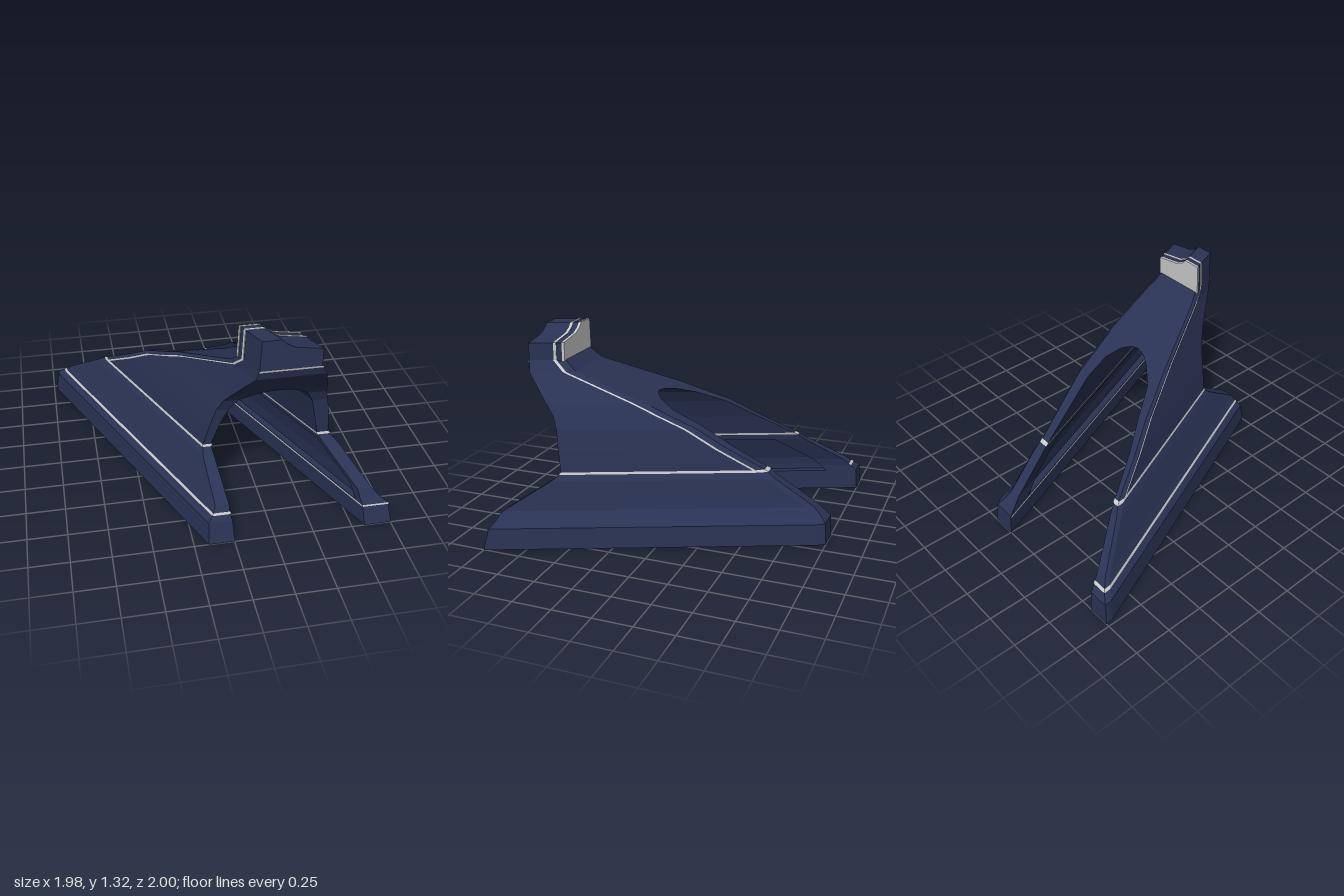
import * as THREE from 'three';

const SHEAR = 0.417; // the whole stand leans sideways as it runs front to back
const APEX = 0.885; // top of the arched tunnel
const hull = new THREE.MeshStandardMaterial({ color: 0x2a3354, flatShading: true, side: THREE.DoubleSide });
const trim = new THREE.MeshStandardMaterial({ color: 0xcccccc, flatShading: true, side: THREE.DoubleSide });

// height, front z, back z, outer right, inner right, inner left, outer left, recess depth
const LEVELS = [
  [0, 1, -1, -0.577, -0.415, 0.415, 0.587, 0],
  [0.14, 0.97, -0.99, -0.56, -0.413, 0.412, 0.577, 0],
  [0.14, 0.97, -0.99, -0.56, -0.413, 0.412, 0.577, 0.05],
  [0.18, 0.945, -0.95, -0.52, -0.413, 0.41, 0.535, 0.05],
  [0.23, 0.92, -0.9, -0.49, -0.405, 0.408, 0.5, 0.05],
  [0.41, 0.655, -0.655, -0.405, -0.335, 0.37, 0.46, 0.05],
  [0.41, 0.655, -0.655, -0.405, -0.335, 0.37, 0.46, 0],
  [0.455, 0.6, -0.6, -0.375, -0.325, 0.36, 0.435, 0],
  [0.6, 0.618, -0.36, -0.345, -0.285, 0.325, 0.415, 0],
  [0.73, 0.635, -0.165, -0.313, -0.235, 0.29, 0.39, 0],
  [0.81, 0.665, 0.01, -0.29, -0.19, 0.235, 0.353, 0],
  [0.86, 0.7, 0.11, -0.275, -0.105, 0.15, 0.33, 0],
  [0.88, 0.715, 0.155, -0.27, -0.04, 0.08, 0.32, 0],
  [APEX, 0.72, 0.17, -0.268, 0.02, 0.02, 0.318, 0],
  [1.06, 0.86, 0.6, -0.22, 0, 0, 0.2, 0],
  [1.13, 0.88, 0.675, -0.215, 0, 0, 0.155, 0],
];

// Profile values at any height
function levelAt(y) {
  let k = 1;
  while (k < LEVELS.length - 1 && LEVELS[k][0] < y) k++;
  const a = LEVELS[k - 1], b = LEVELS[k];
  const t = (y - a[0]) / (b[0] - a[0] || 1);
  return a.map((v, n) => v + (b[n] - v) * t);
}

const place = (x, y, z) => new THREE.Vector3(x + SHEAR * z, y, z);

// Horizontal outline of one side (s = 1 left, -1 right), grown by e
function section(level, s, e = 0) {
  const y = level[0], zf = level[1] + e, zb = level[2] - e, d = level[7];
  const o = (s > 0 ? level[6] : level[3]) + s * e;
  const i = (s > 0 ? level[5] : level[4]) - s * e;
  return [
    [o, zf], [o, zb + 0.045], [o - s * 0.015, zb], [i, zb],
    [i, zb + 0.2], [i + s * d, zb + 0.2], [i + s * d, zf - 0.06], [i, zf - 0.06], [i, zf],
  ].map(([x, z]) => place(x, y, z));
}

function addTri(out, a, b, c, flip) {
  const area = b.clone().sub(a).cross(c.clone().sub(a)).length();
  if (area < 1e-6) return;
  for (const p of flip ? [a, c, b] : [a, b, c]) out.push(p.x, p.y, p.z);
}

// Joins chosen sides of two outlines with faces
function join(out, lo, hi, s, sides) {
  for (const k of sides) {
    const n = (k + 1) % lo.length;
    addTri(out, lo[k], lo[n], hi[n], s < 0);
    addTri(out, lo[k], hi[n], hi[k], s < 0);
  }
}

function makeMesh(name, points, material) {
  const g = new THREE.BufferGeometry();
  g.setAttribute('position', new THREE.Float32BufferAttribute(points, 3));
  g.computeVertexNormals();
  const m = new THREE.Mesh(g, material);
  m.name = name;
  return m;
}

const OUTER = [0, 1, 2, 8], INNER = [3, 4, 5, 6, 7], ALL = [...OUTER, ...INNER];

// One leg with its half of the arch
function makeSide(s, name) {
  const out = [];
  for (let k = 0; k < LEVELS.length - 1; k++) {
    const sides = LEVELS[k][0] >= APEX ? OUTER : ALL;
    join(out, section(LEVELS[k], s), section(LEVELS[k + 1], s), s, sides);
  }
  // sole
  const p = section(LEVELS[0], s);
  for (const [a, b] of [[1, 2], [2, 3], [3, 8]]) addTri(out, p[0], p[b], p[a], s < 0);
  return makeMesh(name, out, hull);
}

// Pale line around a leg between two heights
function makeBand(name, s, y0, y1, sides) {
  const out = [];
  join(out, section(levelAt(y0), s, 0.004), section(levelAt(y1), s, 0.004), s, sides);
  return makeMesh(name, out, trim);
}

// Pale line running up the rear edge of the outer wall
function makeEdgeLine(s) {
  const out = [];
  const ys = [0.455, 0.6, 0.73, 0.81, 0.88, 1.06, 1.13];
  const edge = ys.map((y) => {
    const L = levelAt(y), x = (s > 0 ? L[6] : L[3]) + s * 0.004;
    return [place(x, y, L[2] + 0.045), place(x, y, L[2] + 0.065)];
  });
  for (let k = 0; k < edge.length - 1; k++) {
    const [a, b] = edge[k], [c, d] = edge[k + 1];
    addTri(out, b, a, c, s < 0);
    addTri(out, b, c, d, s < 0);
  }
  return makeMesh('rearEdgeLine', out, trim);
}

// Slice of the stepped crest on top of the arch
function makeCrest(name, z, depth, e, material) {
  const shape = new THREE.Shape([
    [-0.215 - e, 1.12], [0.155 + e, 1.12], [0.155 + e, 1.24 + e], [-0.01, 1.265 + e],
    [-0.06, 1.29 + e], [-0.09, 1.32 + e], [-0.205 - e, 1.32 + e],
  ].map(([x, y]) => new THREE.Vector2(x, y)));
  const g = new THREE.ExtrudeGeometry(shape, { depth, bevelEnabled: false });
  g.translate(0, 0, z);
  g.applyMatrix4(new THREE.Matrix4().set(1, 0, SHEAR, 0, 0, 1, 0, 0, 0, 0, 1, 0, 0, 0, 0, 1));
  g.computeVertexNormals();
  const m = new THREE.Mesh(g, material);
  m.name = name;
  return m;
}

export function createModel() {
  const group = new THREE.Group();
  group.name = 'archedStand';
  for (const s of [1, -1]) {
    group.add(makeSide(s, s > 0 ? 'leftLeg' : 'rightLeg'));
    group.add(makeBand('shoulderLine', s, 0.45, 0.465, [...OUTER, ...INNER]));
    group.add(makeBand('browLine', s, 1.115, 1.128, [8]));
    group.add(makeEdgeLine(s));
  }
  // skirting lines
  group.add(makeBand('rightSkirtLine', -1, 0.178, 0.192, OUTER));
  group.add(makeBand('leftSkirtLine', 1, 0.128, 0.139, [8, ...INNER]));

  group.add(makeCrest('crest', 0.675, 0.205, 0, hull));
  group.add(makeCrest('crestRearLine', 0.672, 0.015, 0.003, trim));
  group.add(makeCrest('crestFrontLine', 0.72, 0.016, 0.003, trim));
  return group;
}
